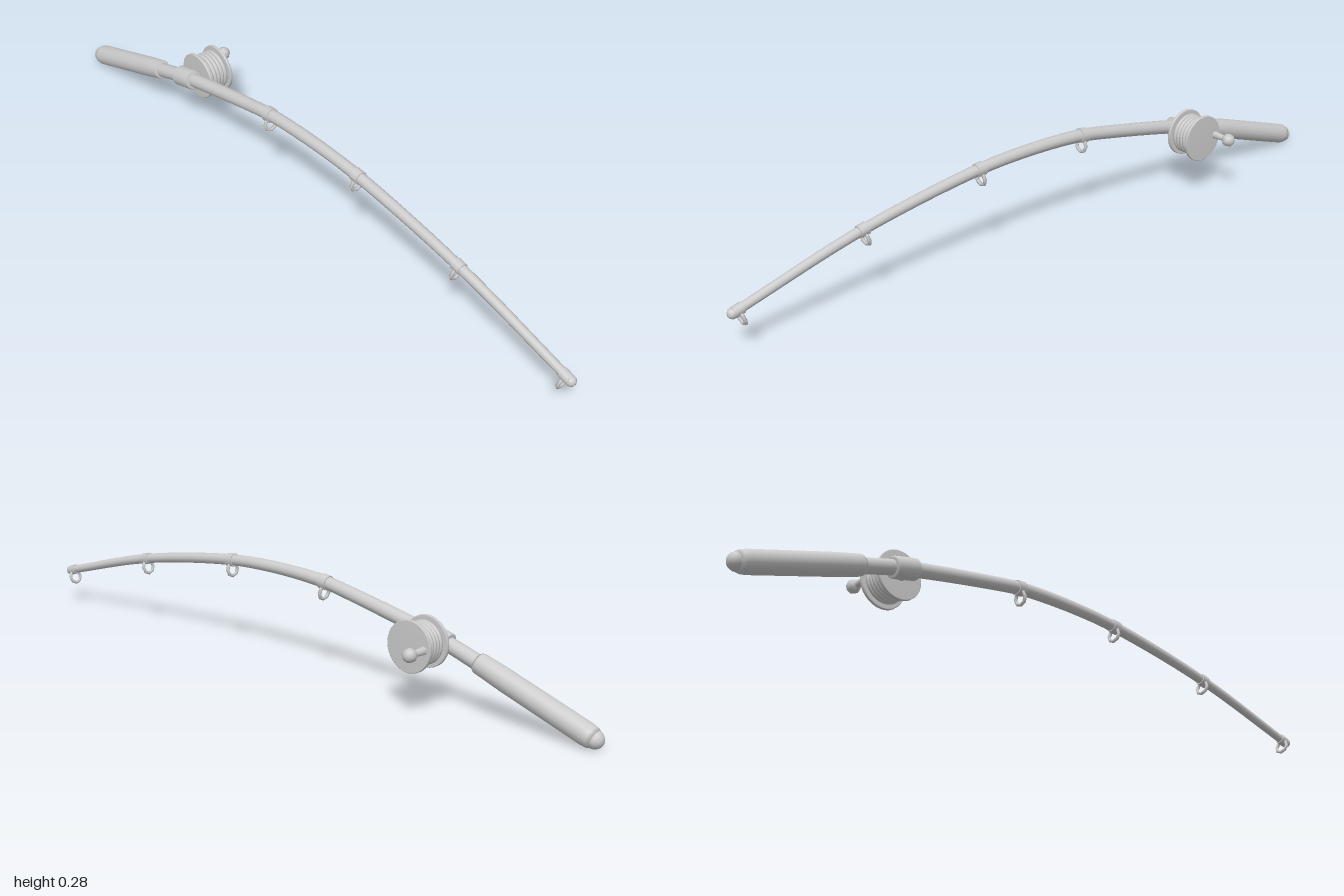
import * as THREE from 'three';

const X = -0.075; // rod's centre plane
const material = new THREE.MeshStandardMaterial({ color: 0xcccccc });
const UP = new THREE.Vector3(0, 1, 0);

export function createModel() {
  const model = new THREE.Group();
  model.name = 'fishingRod';
  const add = (parent, name, geometry, x = 0, y = 0, z = 0) => {
    const mesh = new THREE.Mesh(geometry, material);
    mesh.name = name;
    mesh.position.set(x, y, z);
    parent.add(mesh);
    return mesh;
  };
  const lathe = (points, sides) =>
    new THREE.LatheGeometry(points.map(([r, h]) => new THREE.Vector2(r, h)), sides);

  // Bent blank, thinning towards the tip
  const path = new THREE.CatmullRomCurve3([
    [0.03, -0.98], [0.146, -0.63], [0.186, -0.495], [0.248, -0.2], [0.264, -0.1],
    [0.271, 0.08], [0.263, 0.25], [0.207, 0.61], [0.108, 0.985],
  ].map(([y, z]) => new THREE.Vector3(X, y, z)));
  const steps = 48, sides = 12;
  const blank = new THREE.TubeGeometry(path, steps, 1, sides);
  const radius = t => 0.023 - 0.011 * t;
  const pos = blank.attributes.position, v = new THREE.Vector3();
  for (let i = 0; i <= steps; i++) {
    const centre = path.getPointAt(i / steps);
    for (let j = 0; j <= sides; j++) {
      const k = i * (sides + 1) + j;
      v.fromBufferAttribute(pos, k).sub(centre).multiplyScalar(radius(i / steps)).add(centre);
      pos.setXYZ(k, v.x, v.y, v.z);
    }
  }
  add(model, 'blank', blank);
  add(model, 'tip', new THREE.SphereGeometry(0.0145, 10, 8), X, 0.108, 0.985);

  // Curve parameter for a given z
  const paramAt = z => {
    let lo = 0, hi = 1;
    for (let i = 0; i < 30; i++) {
      const mid = (lo + hi) / 2;
      if (path.getPointAt(mid).z < z) lo = mid; else hi = mid;
    }
    return lo;
  };

  // Group on the rod whose local y runs along it towards the tip
  const mount = (name, z) => {
    const t = paramAt(z), group = new THREE.Group();
    group.name = name;
    group.position.copy(path.getPointAt(t));
    group.quaternion.setFromUnitVectors(UP, path.getTangentAt(t));
    model.add(group);
    return { group, r: radius(t) };
  };

  // Grip with a rounded butt cap
  const grip = mount('grip', -0.8).group;
  add(grip, 'gripSleeve', lathe([
    [0, -0.182], [0.024, -0.182], [0.0285, -0.172], [0.03, -0.155],
    [0.03, 0.1], [0.028, 0.172], [0.025, 0.178], [0, 0.178],
  ], 16));
  add(grip, 'buttCap', new THREE.SphereGeometry(0.024, 12, 8), 0, -0.181, 0);

  // Line guides: a collar with a ring hanging square to the rod
  for (const z of [-0.12, 0.24, 0.61, 0.97]) {
    const { group, r } = mount('lineGuide', z);
    add(group, 'guideCollar', new THREE.CylinderGeometry(r + 0.003, r + 0.003, 0.026, 10));
    const ring = add(group, 'guideRing', new THREE.TorusGeometry(0.019, 0.005, 6, 8), 0, 0, r + 0.011);
    ring.rotation.x = Math.PI / 2;
  }

  // Reel seat around the rod
  const seat = mount('reelSeat', -0.505).group;
  add(seat, 'seatCollar', lathe([
    [0, -0.038], [0.025, -0.038], [0.029, -0.034], [0.029, 0.034], [0.025, 0.038], [0, 0.038],
  ], 16));

  // Reel, lying along x; local y points to the crank side
  const reel = new THREE.Group();
  reel.name = 'reel';
  reel.position.set(0, 0.181, -0.495);
  reel.rotation.z = -Math.PI / 2;
  model.add(reel);
  const flange = lathe([
    [0, -0.005], [0.066, -0.005], [0.0685, -0.003], [0.0685, 0.003], [0.066, 0.005], [0, 0.005],
  ], 32);
  for (const x of [-0.042, 0.027]) add(reel, 'spoolFlange', flange, 0, x, 0);
  add(reel, 'spoolCore', new THREE.CylinderGeometry(0.053, 0.053, 0.066, 28), 0, -0.007, 0);
  for (let i = 0; i < 5; i++) {
    const coil = add(reel, 'lineCoil', new THREE.TorusGeometry(0.0515, 0.0065, 8, 28), 0, -0.031 + i * 0.0118, 0);
    coil.rotation.x = Math.PI / 2;
  }
  add(reel, 'reelFoot', new THREE.CylinderGeometry(0.018, 0.018, 0.04, 10), 0, -0.06, 0);

  // Crank handle, offset towards the grip
  add(reel, 'crankShaft', new THREE.CylinderGeometry(0.0085, 0.0115, 0.045, 8), 0, 0.052, -0.048);
  add(reel, 'crankKnob', new THREE.SphereGeometry(0.0195, 8, 6), 0, 0.0855, -0.048);

  return model;
}
